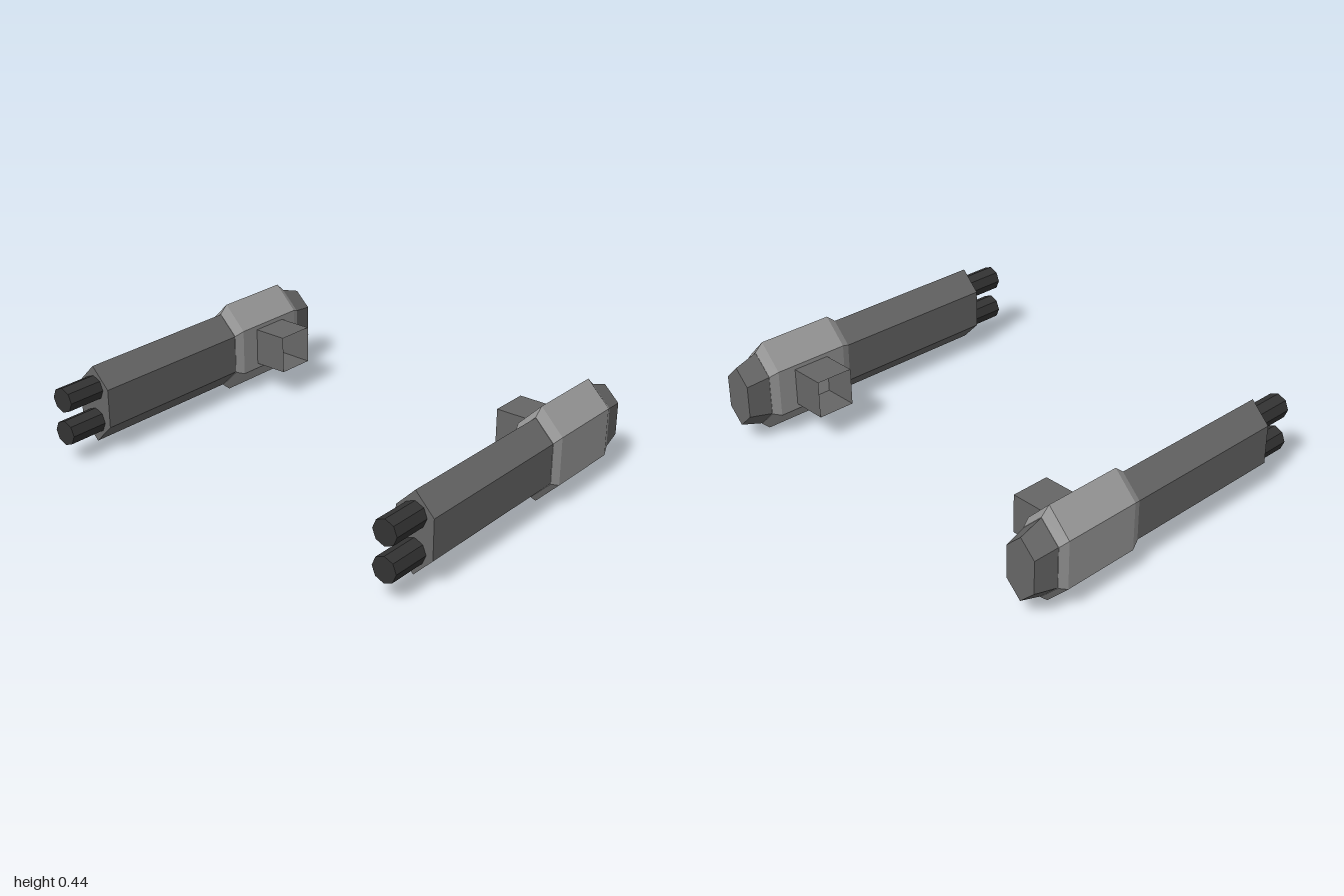
import * as THREE from 'three';

const makeMaterial = (name, color) => {
  const m = new THREE.MeshStandardMaterial({ color, flatShading: true, side: THREE.DoubleSide });
  m.name = name;
  return m;
};

// Lofts tall hexagonal sections, listed front to back as [z, halfWidth, halfHeight, sideHalfHeight]
function hexLoft(sections) {
  const rings = sections.map(([z, w, h, s]) =>
    [[0, h], [-w, s], [-w, -s], [0, -h], [w, -s], [w, s]].map(([x, y]) => [x, y, z]));
  const pos = [];
  const tri = (...points) => points.forEach((p) => pos.push(...p));
  for (let i = 0; i < rings.length - 1; i++) {
    const a = rings[i], b = rings[i + 1];
    for (let j = 0; j < 6; j++) {
      const k = (j + 1) % 6;
      tri(a[j], b[j], a[k]);
      tri(a[k], b[j], b[k]);
    }
  }
  const front = rings[0], back = rings[rings.length - 1];
  for (let j = 1; j < 5; j++) {
    tri(front[0], front[j], front[j + 1]);
    tri(back[0], back[j + 1], back[j]);
  }
  const geo = new THREE.BufferGeometry();
  geo.setAttribute('position', new THREE.Float32BufferAttribute(pos, 3));
  geo.computeVertexNormals();
  return geo;
}

export function createModel() {
  const light = makeMaterial('light grey', 0x999999);
  const mid = makeMaterial('mid grey', 0x666666);
  const dark = makeMaterial('dark grey', 0x333333);

  const shroudGeo = hexLoft([[0.59, 0.09, 0.183, 0.091], [-0.22, 0.09, 0.183, 0.091]]);
  const housingGeo = hexLoft([
    [-0.22, 0.092, 0.185, 0.093], [-0.262, 0.108, 0.22, 0.11],
    [-0.625, 0.108, 0.22, 0.11], [-0.665, 0.092, 0.183, 0.093],
  ]);
  const tailGeo = hexLoft([[-0.665, 0.09, 0.181, 0.092], [-0.772, 0.073, 0.145, 0.075]]);
  const barrelGeo = new THREE.CylinderGeometry(0.058, 0.058, 0.2, 8).rotateX(Math.PI / 2);
  // Square sleeve, open at its ends
  const mountGeo = new THREE.CylinderGeometry(Math.SQRT1_2, Math.SQRT1_2, 1, 4, 1, true)
    .rotateY(Math.PI / 4).rotateZ(Math.PI / 2).scale(0.17, 0.176, 0.18);

  const model = new THREE.Group();
  model.name = 'twinCannons';

  for (const [side, label] of [[1, 'left'], [-1, 'right']]) {
    const cannon = new THREE.Group();
    cannon.name = `${label}Cannon`;
    cannon.position.set(side * 0.892, 0.22, 0);
    const add = (name, geo, mat, x = 0, y = 0, z = 0) => {
      const mesh = new THREE.Mesh(geo, mat);
      mesh.name = name;
      mesh.position.set(x, y, z);
      cannon.add(mesh);
    };
    add('barrelShroud', shroudGeo, mid);
    add('housing', housingGeo, light);
    add('tailCap', tailGeo, mid);
    add('upperBarrel', barrelGeo, dark, 0, 0.08, 0.672);
    add('lowerBarrel', barrelGeo, dark, 0, -0.078, 0.672);
    // Mounting sleeve reaching towards the centre
    add('mountSleeve', mountGeo, mid, -side * 0.192, 0.002, -0.446);
    model.add(cannon);
  }
  return model;
}
